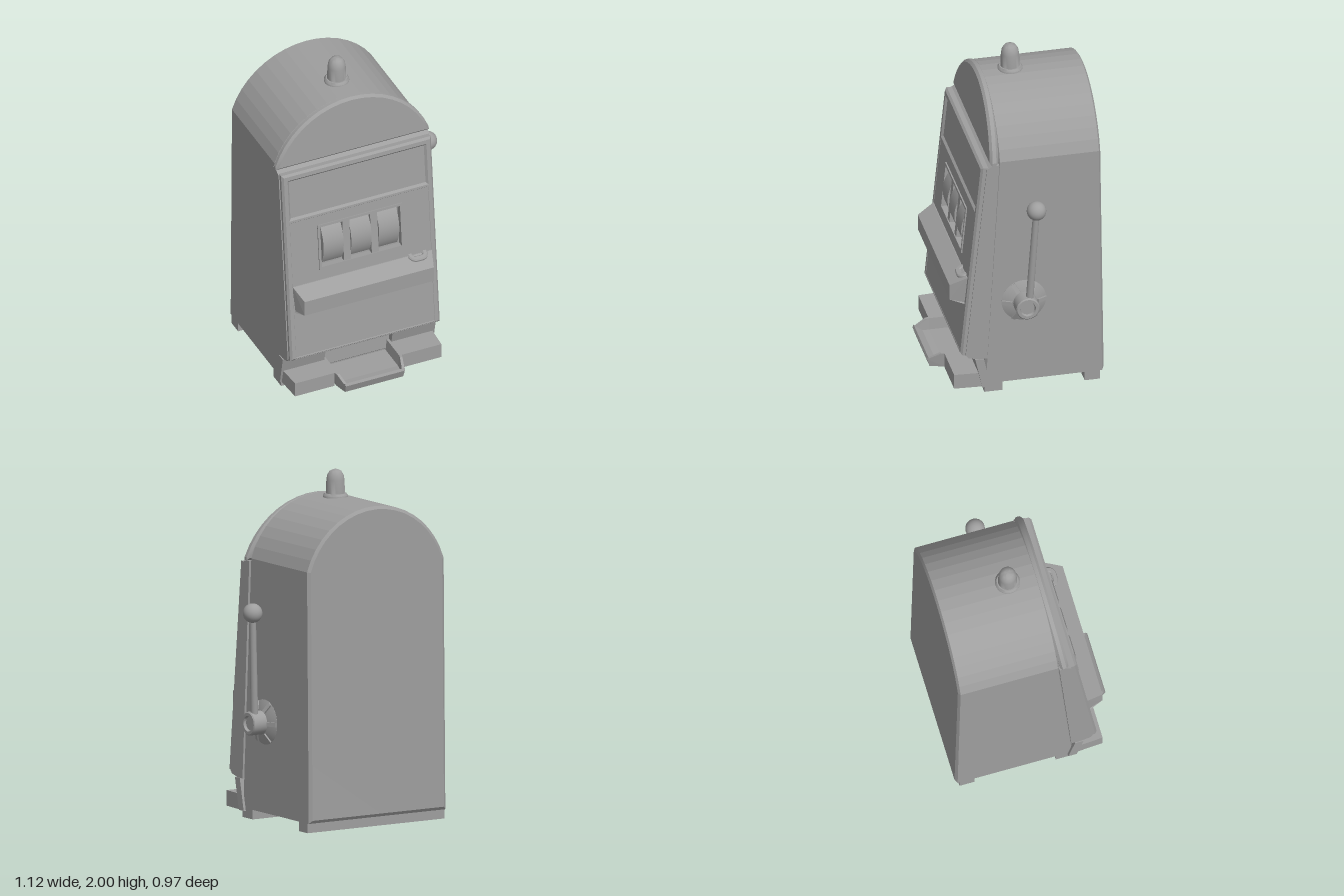
import * as THREE from 'three';
import { toCreasedNormals } from 'three/addons/utils/BufferGeometryUtils.js';

const material = new THREE.MeshStandardMaterial({ color: 0x9e9e9e });

function add(parent, name, geometry, x = 0, y = 0, z = 0) {
  const mesh = new THREE.Mesh(geometry, material);
  mesh.name = name;
  mesh.position.set(x, y, z);
  parent.add(mesh);
  return mesh;
}

// Box given by its limits
function block(parent, name, x0, x1, y0, y1, z0, z1) {
  return add(parent, name, new THREE.BoxGeometry(x1 - x0, y1 - y0, z1 - z0),
    (x0 + x1) / 2, (y0 + y1) / 2, (z0 + z1) / 2);
}

const corners = (x0, x1, y0, y1) => [[x0, y0], [x1, y0], [x1, y1], [x0, y1]].map(p => new THREE.Vector2(...p));

// Rectangular plate with rectangular holes, front face on z = 0
function plate(outer, holes, depth, bevel = 0) {
  const shape = new THREE.Shape(corners(...outer));
  for (const h of holes) shape.holes.push(new THREE.Path(corners(...h).reverse()));
  const g = new THREE.ExtrudeGeometry(shape, {
    depth: depth - 2 * bevel, bevelEnabled: bevel > 0, bevelSize: bevel, bevelThickness: bevel, bevelSegments: 1,
  });
  return g.translate(0, 0, bevel - depth);
}

// Side outline of [z, y] points extruded across x, optionally reshaped by a rule
function across(points, width, rule) {
  const shape = new THREE.Shape(points.map(p => new THREE.Vector2(...p)));
  const g = new THREE.ExtrudeGeometry(shape, { depth: width, bevelEnabled: false });
  g.rotateY(-Math.PI / 2).translate(width / 2, 0, 0);
  return rule ? reshape(g, rule) : g;
}

function reshape(g, rule) {
  const p = g.attributes.position, v = new THREE.Vector3();
  for (let i = 0; i < p.count; i++) {
    rule(v.fromBufferAttribute(p, i));
    p.setXYZ(i, v.x, v.y, v.z);
  }
  g.computeVertexNormals();
  return g;
}

// Arch outline: straight sides from y0 to the spring line, then a circular arc
function arch(a, y0, spring, rise) {
  const s = new THREE.Shape();
  const r = (a * a + rise * rise) / (2 * rise), half = Math.asin(a / r);
  s.moveTo(-a, y0);
  s.lineTo(a, y0);
  for (let i = 0; i <= 18; i++) {
    const t = half * (1 - i / 9);
    s.lineTo(r * Math.sin(t), spring + rise - r + r * Math.cos(t));
  }
  return s;
}

export function createModel() {
  const root = new THREE.Group();
  root.name = 'slotMachine';
  const machine = new THREE.Group();
  machine.name = 'machine';
  machine.position.x = -0.075;
  root.add(machine);

  // Cabinet, leaning slightly at front and back
  const b = 0.018;
  const cabinet = new THREE.ExtrudeGeometry(arch(0.465 - b, 0.055 + b, 1.5, 0.345 - b),
    { depth: 1, bevelSize: b, bevelThickness: 0.02, bevelSegments: 1 });
  reshape(cabinet, v => {
    const t = (v.z + 0.02) / 1.04, k = THREE.MathUtils.clamp((1.5 - v.y) / 1.45, 0, 1);
    v.z = THREE.MathUtils.lerp(-0.465 - 0.02 * k, 0.135 + 0.085 * k, t);
  });
  add(machine, 'cabinet', toCreasedNormals(cabinet, 0.1));
  block(machine, 'frontFoot', -0.465, 0.465, 0, 0.09, 0.11, 0.215);
  block(machine, 'rearFoot', -0.465, 0.465, 0, 0.09, -0.46, -0.37);

  // Arched sign plate on top
  const sign = new THREE.ExtrudeGeometry(arch(0.466, 1.505, 1.506, 0.326),
    { depth: 0.022, bevelSize: 0.014, bevelThickness: 0.014, bevelSegments: 1 });
  reshape(sign, v => {
    v.z += 0.149 - 0.07 * (v.y - 1.5);
  });
  add(machine, 'topSign', toCreasedNormals(sign, 0.4));

  // Beacon lamp
  const lamp = [[0, 1.82], [0.072, 1.82], [0.072, 1.85], [0.062, 1.862], [0.055, 1.862], [0.052, 1.94],
    [0.047, 1.968], [0.033, 1.99], [0.015, 1.999], [0, 2]].map(p => new THREE.Vector2(...p));
  add(machine, 'beacon', toCreasedNormals(new THREE.LatheGeometry(lamp, 28), 0.7), 0, 0, -0.04);

  // Door body behind the tilted face
  add(machine, 'doorBody', across([[0.13, 1.49], [0.17, 1.488], [0.202, 1.47], [0.326, 0.26],
    [0.31, 0.24], [0.25, 0.225], [0.2, 0.225]], 0.95));

  // Tilted door face; local z = 0 is its front
  const door = new THREE.Group();
  door.name = 'door';
  door.position.z = 0.382;
  door.rotation.x = -Math.atan(0.1);
  machine.add(door);
  add(door, 'doorFrame', plate([-0.457, 0.457, 0.275, 1.475],
    [[-0.435, 0.435, 1.183, 1.45], [-0.435, 0.435, 0.28, 1.17]], 0.06, 0.012));
  block(door, 'upperGlass', -0.44, 0.44, 1.175, 1.46, -0.04, -0.012);
  add(door, 'reelPanel', plate([-0.44, 0.44, 0.27, 1.178], [[-0.255, 0.255, 0.828, 1.1]], 0.04), 0, 0, -0.002);
  add(door, 'windowRim', plate([-0.265, 0.265, 0.818, 1.11], [[-0.25, 0.25, 0.833, 1.095]], 0.04), 0, 0, 0.006);

  // Three reels with dividers between them
  for (let i = -1; i <= 1; i++) {
    const reel = new THREE.CylinderGeometry(0.2, 0.2, 0.126, 48).rotateZ(Math.PI / 2);
    add(door, 'reel', reel, i * 0.174, 0.966, -0.188);
  }
  for (const x of [-0.087, 0.087]) block(door, 'reelDivider', x - 0.022, x + 0.022, 0.83, 1.1, -0.05, 0);

  // Button shelf, narrowing towards its front
  add(machine, 'shelf', across([[0.28, 0.575], [0.325, 0.575], [0.405, 0.6], [0.405, 0.695], [0.31, 0.745], [0.28, 0.745]],
    0.87, v => { v.x *= 1 - 0.07 * Math.max(0, (v.z - 0.31) / 0.095); }));

  // Coin slot: rounded pad with a slotted opening
  const stadium = (target, half, r) => {
    target.absarc(half, 0, r, -Math.PI / 2, Math.PI / 2);
    target.absarc(-half, 0, r, Math.PI / 2, Math.PI * 1.5);
    return target;
  };
  const pad = stadium(new THREE.Shape(), 0.014, 0.04);
  pad.holes.push(stadium(new THREE.Path(), 0.016, 0.02));
  const slot = add(machine, 'coinSlot', toCreasedNormals(new THREE.ExtrudeGeometry(pad,
    { depth: 0.035, bevelSize: 0.007, bevelThickness: 0.007, bevelSegments: 1, curveSegments: 10 }), 0.5), 0.345, 0.713, 0.3);
  slot.rotation.x = -Math.PI / 2 + 0.3;

  // Lower front plate with payout opening
  const lower = plate([-0.48, 0.48, 0.04, 0.225], [[-0.21, 0.21, 0.06, 0.195]], 0.05);
  reshape(lower, v => { v.z += 0.23 + 0.22 * (v.y - 0.04); });
  add(machine, 'lowerPlate', lower);

  // Side ledges and the payout tray, which narrows forwards and downwards
  const trayHalf = v => 0.21 - 0.24 * Math.max(0, v.z - 0.39) - 0.15 * Math.max(0, 0.1 - v.y);
  for (const s of [-1, 1]) {
    const name = s < 0 ? 'rightLedge' : 'leftLedge';
    add(machine, name, across([[0.2, 0.04], [0.39, 0.04], [0.39, 0.13], [0.2, 0.13]], 0.26, v => {
      const outer = v.x * s > 0 && v.z > 0.3 ? 0.012 : 0;
      v.x += s * (0.34 - outer);
    }));
    add(machine, 'traySide', across([[0.22, 0.04], [0.39, 0.04], [0.47, 0.04], [0.487, 0.09], [0.41, 0.13],
      [0.39, 0.13], [0.22, 0.13]], 0.016, v => { v.x += s * (trayHalf(v) - 0.008); }));
  }
  add(machine, 'trayFloor', across([[0.2, 0.04], [0.39, 0.04], [0.47, 0.04], [0.487, 0.09], [0.48, 0.105],
    [0.43, 0.065], [0.39, 0.06], [0.2, 0.06]], 2, v => { v.x *= trayHalf(v) - 0.001; }));

  // Pull lever on the left side
  const lever = new THREE.Group();
  lever.name = 'lever';
  lever.position.set(0.46, 0.58, -0.015);
  machine.add(lever);
  const turned = (pts, n) => toCreasedNormals(
    new THREE.LatheGeometry(pts.map(p => new THREE.Vector2(...p)), n).rotateZ(-Math.PI / 2), 0.5);
  add(lever, 'leverPlate', turned([[0, 0], [0.13, 0], [0.13, 0.006], [0.075, 0.032], [0, 0.032]], 32));
  add(lever, 'leverHub', turned([[0, 0.02], [0.068, 0.02], [0.068, 0.114], [0.062, 0.12], [0.045, 0.12], [0.04, 0.105], [0, 0.105]], 28));
  for (let i = 0; i < 6; i++) {
    const spoke = new THREE.Group();
    spoke.name = 'plateRib';
    spoke.rotation.x = i * Math.PI / 3 + Math.PI / 6;
    lever.add(spoke);
    const rib = add(spoke, 'rib', new THREE.BoxGeometry(0.02, 0.06, 0.024), 0.02, 0.1, 0);
    rib.rotation.z = 0.44;
  }
  const start = new THREE.Vector3(0.085, 0.04, -0.015), end = new THREE.Vector3(0.119, 0.645, -0.048);
  const dir = end.clone().sub(start);
  const arm = add(lever, 'leverArm', new THREE.CylinderGeometry(0.019, 0.022, dir.length(), 16));
  arm.position.copy(start).addScaledVector(dir, 0.5);
  arm.quaternion.setFromUnitVectors(new THREE.Vector3(0, 1, 0), dir.normalize());
  add(lever, 'leverKnob', new THREE.SphereGeometry(0.056, 28, 18), end.x, end.y, end.z);

  return root;
}
